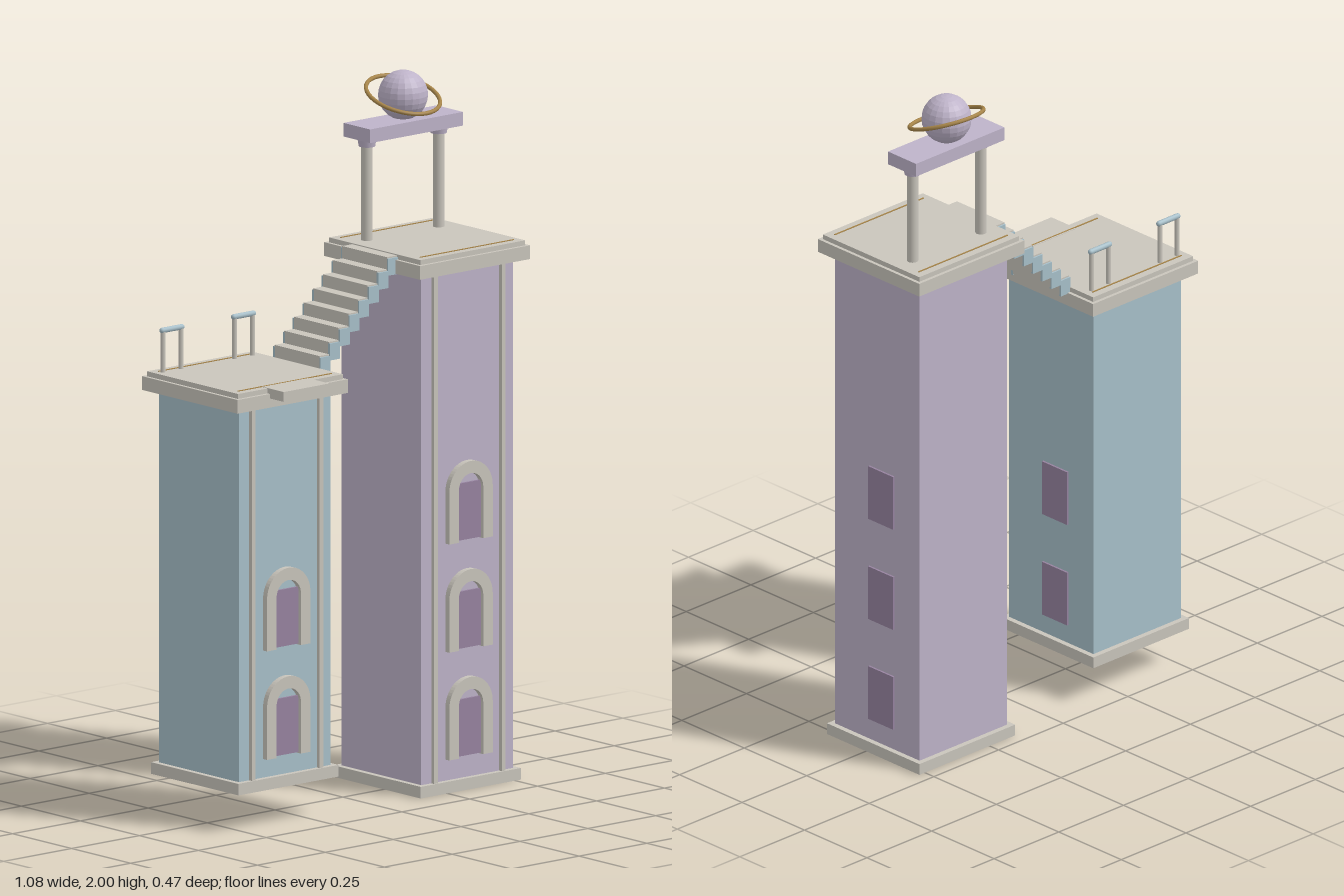
import * as THREE from 'three';

const mat = (name, color) => Object.assign(new THREE.MeshStandardMaterial({ color }), { name });

export function createModel() {
  const stone = mat('pale stone', 0xc9c5bc);
  const lilac = mat('lilac', 0xbeb3c9);
  const blue = mat('dusty blue', 0xa8c0ca);
  const plum = mat('plum window', 0x9783a0);
  const gold = mat('old gold', 0xa8864a);
  const flatLilac = lilac.clone();
  flatLilac.flatShading = true;

  const model = new THREE.Group();
  model.name = 'twinTowers';
  const ZC = -0.029; // shared depth centre of both towers
  const HALF = 0.169; // half width of a tower shaft
  const FRONT = ZC + HALF;

  const add = (parent, name, geometry, material, x, y, z) => {
    const mesh = new THREE.Mesh(geometry, material);
    mesh.name = name;
    mesh.position.set(x, y, z);
    parent.add(mesh);
    return mesh;
  };
  // box given by its bottom height
  const box = (parent, name, material, w, h, d, x, y0, z) =>
    add(parent, name, new THREE.BoxGeometry(w, h, d), material, x, y0 + h / 2, z);

  // arched window surround, origin at the middle of its foot
  const archShape = new THREE.Shape();
  const R = 0.08, r = 0.045, spring = 0.147;
  archShape.moveTo(-R, 0);
  archShape.lineTo(-r, 0);
  archShape.lineTo(-r, spring);
  archShape.absarc(0, spring, r, Math.PI, 0, true);
  archShape.lineTo(r, 0);
  archShape.lineTo(R, 0);
  archShape.lineTo(R, spring);
  archShape.absarc(0, spring, R, 0, Math.PI, false);
  archShape.closePath();
  const archGeo = new THREE.ExtrudeGeometry(archShape, { depth: 0.018, bevelEnabled: false, curveSegments: 14 });

  function tower(name, x, wall, foot, capY, windows) {
    const g = new THREE.Group();
    g.name = name;
    model.add(g);
    box(g, 'base', stone, 0.37, 0.033, 0.37, x, foot, ZC);
    box(g, 'shaft', wall, HALF * 2, capY - foot - 0.033, HALF * 2, x, foot + 0.033, ZC);
    box(g, 'cap', stone, 0.406, 0.039, 0.406, x, capY, ZC);
    box(g, 'terrace', stone, 0.386, 0.014, 0.386, x, capY + 0.039, ZC);
    for (const s of [-1, 1]) {
      box(g, 'frontStrip', stone, 0.014, capY - foot - 0.033, 0.012, x + s * 0.125, foot + 0.033, FRONT + 0.006);
      box(g, 'goldInlay', gold, 0.345, 0.002, 0.004, x, capY + 0.053, ZC + s * 0.168);
    }
    for (const y of windows) {
      add(g, 'windowArch', archGeo, stone, x, y, FRONT - 0.001);
      box(g, 'frontWindow', plum, 0.09, 0.162, 0.008, x, y + 0.003, FRONT + 0.003);
      box(g, 'sideWindow', plum, 0.008, 0.162, 0.1, x + HALF + 0.002, y + 0.003, -0.048);
    }
    return g;
  }

  const low = tower('lowTower', -0.336, blue, 0.107, 1.2, [0.193, 0.502]);
  const tall = tower('tallTower', 0.336, lilac, 0, 1.483, [0.093, 0.4, 0.708]);

  // small balcony on the low tower
  box(low, 'balcony', stone, 0.168, 0.028, 0.1, -0.336, 1.226, 0.182);

  // two hand rails at the back of the low terrace
  for (const x of [-0.469, -0.205]) {
    const bar = add(low, 'railBar', new THREE.CapsuleGeometry(0.008, 0.072, 4, 10), blue, x, 1.372, -0.185);
    bar.rotation.z = Math.PI / 2;
    for (const s of [-1, 1]) {
      add(low, 'railPost', new THREE.CylinderGeometry(0.007, 0.007, 0.12, 10), stone, x + s * 0.033, 1.312, -0.185);
    }
  }

  // stairs between the terraces, each step with blue cheeks
  const stairs = new THREE.Group();
  stairs.name = 'stairs';
  model.add(stairs);
  for (let i = 0; i < 8; i++) {
    const x = -0.125 + i * 0.0357, top = 1.288 + i * 0.035;
    box(stairs, 'step', stone, 0.037, 0.048, 0.19, x, top - 0.048, -0.03);
    for (const s of [-1, 1]) {
      box(stairs, 'stepCheek', blue, 0.037, 0.048, 0.008, x, top - 0.052, -0.03 + s * 0.096);
    }
  }

  // gateway on the tall tower
  const gate = new THREE.Group();
  gate.name = 'gateway';
  model.add(gate);
  const GZ = -0.13;
  for (const s of [-1, 1]) {
    const x = 0.334 + s * 0.132;
    add(gate, 'column', new THREE.CylinderGeometry(0.016, 0.016, 0.275, 16), stone, x, 1.668, GZ);
    add(gate, 'capital', new THREE.CylinderGeometry(0.027, 0.023, 0.024, 16), lilac, x, 1.815, GZ);
  }
  box(gate, 'beam', lilac, 0.342, 0.039, 0.112, 0.336, 1.826, GZ);

  // ringed globe
  add(gate, 'globe', new THREE.SphereGeometry(0.07, 20, 14), flatLilac, 0.335, 1.93, GZ);
  const ring = add(gate, 'globeRing', new THREE.TorusGeometry(0.106, 0.006, 8, 40), gold, 0.335, 1.93, GZ);
  ring.rotation.x = Math.PI / 2 + 0.35;

  return model;
}
